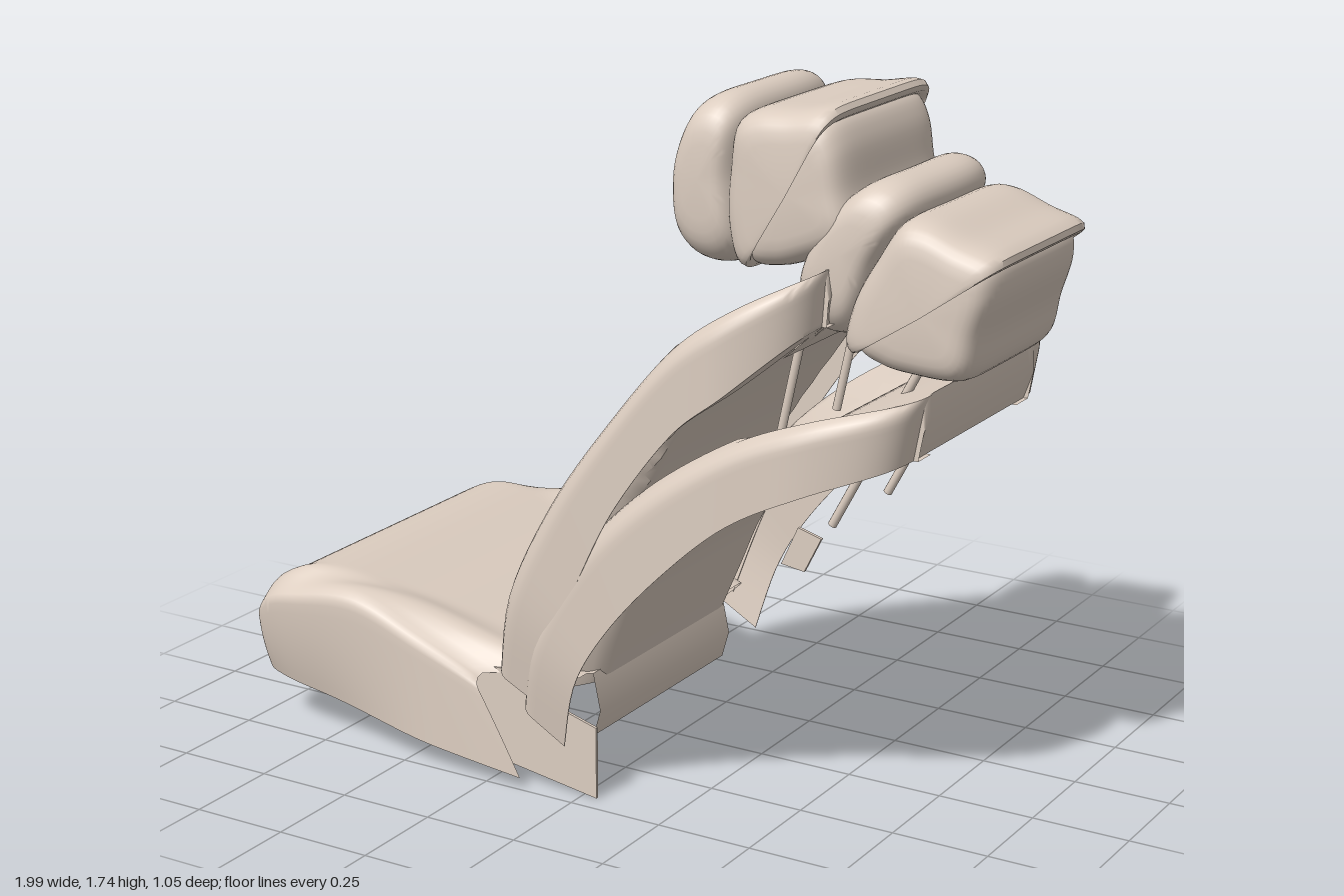
import * as THREE from 'three';
import { toCreasedNormals } from 'three/addons/utils/BufferGeometryUtils.js';

const mat = new THREE.MeshStandardMaterial({ color: 0xdccdc0, side: THREE.DoubleSide });
const lerp = THREE.MathUtils.lerp;
const sstep = THREE.MathUtils.smoothstep;

function part(name, geometry, parent) {
  const m = new THREE.Mesh(geometry, mat);
  m.name = name;
  parent.add(m);
  return m;
}

// Smooth interpolation through rows of numbers, t in 0..1
function spline(rows, t) {
  const n = rows.length - 1;
  const p = Math.min(Math.max(t, 0), 1) * n;
  const i = Math.min(Math.floor(p), n - 1), f = p - i;
  const at = k => rows[Math.min(Math.max(k, 0), n)];
  const a = at(i - 1), b = at(i), c = at(i + 1), d = at(i + 2);
  return b.map((v, k) => v + 0.5 * f * (c[k] - a[k] + f * (2 * a[k] - 5 * v + 4 * c[k] - d[k]
    + f * (3 * (v - c[k]) + d[k] - a[k]))));
}

// Grid surface from fn(i, j) -> [x, y, z]
function grid(nu, nv, fn) {
  const pos = [], idx = [];
  for (let i = 0; i <= nu; i++) for (let j = 0; j <= nv; j++) pos.push(...fn(i, j));
  for (let i = 0; i < nu; i++) for (let j = 0; j < nv; j++) {
    const a = i * (nv + 1) + j, b = a + nv + 1;
    idx.push(a, b, a + 1, b, b + 1, a + 1);
  }
  const g = new THREE.BufferGeometry();
  g.setAttribute('position', new THREE.Float32BufferAttribute(pos, 3));
  g.setIndex(idx);
  g.computeVertexNormals();
  return toCreasedNormals(g, 0.8);
}

// Upholstery section: f = side position, k = bolster amount, r = way down the side.
// The bolster rises from insert width e to peak; corner is the drop of the rounded edge.
function section(u, e, peak, corner, flange) {
  const a = Math.abs(u);
  let f, r = 0;
  if (a <= 0.8) f = a * 1.05;
  else if (a <= 1) {
    const phi = (a - 0.8) / 0.2 * Math.PI / 2;
    f = 0.84 + 0.16 * Math.sin(phi);
    r = corner * (1 - Math.cos(phi));
  } else if (a <= 1.3) { f = 1; r = corner + (1 - corner) * (a - 1) / 0.3; }
  else { f = 1 - (a - 1.3) * 10 * flange; r = 1; }
  return { f: f * Math.sign(u), k: sstep(Math.abs(f), e, Math.max(peak, e + 0.06)), r };
}

// Seat cushion rows: x, insert y, bolster y, z of both sides, insert width
const cushionRows = [
  [-1, 0.27, 0.26, -0.2, 0.38, 0.85],
  [-0.97, 0.34, 0.32, -0.3, 0.47, 0.85],
  [-0.9, 0.41, 0.38, -0.41, 0.5, 0.84],
  [-0.78, 0.445, 0.41, -0.48, 0.51, 0.8],
  [-0.55, 0.395, 0.435, -0.53, 0.51, 0.66],
  [-0.3, 0.335, 0.365, -0.5, 0.51, 0.6],
  [-0.05, 0.28, 0.28, -0.46, 0.5, 0.6],
];

function cushionPoint(t, u) {
  const [x, ins, bol, zn, zp, e] = spline(cushionRows, t);
  const s = section(u, e, 0.97, 0.15, 0);
  const r = t < 0 ? 1 : s.r;
  // Sides end sooner than the middle, with slanted rear edges
  const cut = u > 0 ? lerp(0.24 * sstep(s.f, 0.75, 0.95), 0.1, s.r) : 0.28 * s.r;
  const px = x - (t > 0 ? cut * t * t : 0);
  const yb = 0.15 - 0.135 * (px + 1);
  const y = lerp(lerp(ins, bol, s.k), yb, r);
  // Lower edge leans inward
  const lean = u > 0 ? 0.04 * (1 - sstep(px, -0.8, -0.4)) : 0.055;
  const z = (zn + zp) / 2 + s.f * (zp - zn) / 2;
  return [px, y, z - Math.sign(u) * lean * s.r * s.r * Math.abs(s.f)];
}

// Backrest rows: bolster front x y, insert x y, rear edge x y, half width
const uprightRows = [
  [-0.24, 0.3, -0.04, 0.28, -0.1, 0.23, 0.47],
  [-0.19, 0.52, -0.02, 0.43, -0.04, 0.42, 0.5],
  [-0.06, 0.77, 0.05, 0.62, 0.04, 0.6, 0.505],
  [0.1, 0.99, 0.155, 0.83, 0.14, 0.79, 0.505],
  [0.27, 1.19, 0.31, 1.07, 0.29, 0.99, 0.5],
  [0.42, 1.3, 0.445, 1.24, 0.42, 1.1, 0.485],
  [0.58, 1.38, 0.575, 1.375, 0.57, 1.24, 0.46],
];
const reclinedRows = [
  [-0.17, 0.22, -0.03, 0.25, -0.03, 0.14, 0.47],
  [-0.12, 0.42, 0.02, 0.38, 0.02, 0.32, 0.5],
  [0.02, 0.66, 0.1, 0.56, 0.11, 0.47, 0.505],
  [0.2, 0.84, 0.24, 0.74, 0.25, 0.63, 0.505],
  [0.43, 0.99, 0.46, 0.92, 0.43, 0.79, 0.5],
  [0.63, 1.07, 0.635, 1.04, 0.62, 0.89, 0.485],
  [0.84, 1.12, 0.835, 1.115, 0.81, 0.96, 0.46],
];
const backZ = 0.012;

function backPoint(rows, t, u) {
  const [fx, fy, cx, cy, rx, ry, w] = spline(rows, t);
  const s = section(u, lerp(0.58, 0.86, sstep(t, 0.25, 0.8)), 0.88, 0.3, 0.005 + 0.22 * sstep(t, 0.65, 0.95));
  const round = Math.max(0, (t - 0.78) / 0.22);
  const width = w * (1 - 0.36 * (1 - Math.sqrt(Math.max(0, 1 - round * round))));
  return [lerp(lerp(cx, fx, s.k), rx, s.r), lerp(lerp(cy, fy, s.k), ry, s.r), backZ + s.f * width];
}

function backrest(name, rows, buttonT, root) {
  const g = new THREE.Group();
  g.name = name;
  root.add(g);
  const nt = 52, nu = 84;
  const uAt = j => -1.4 + 2.8 * j / nu;
  // Hollow shell, then extra rows turn it over the top into a rear rim
  part('backrestShell', grid(nt, nu, (i, j) => backPoint(rows, 1 - Math.pow(1 - i / nt, 1.7), uAt(j))), g);
  const last = spline(rows, 1), low = spline(rows, 0.9);
  part('backrestTopRim', grid(3, nu, (i, j) => {
    const front = backPoint(rows, 1, uAt(j));
    if (i === 0) return front;
    if (i === 1) return [lerp(front[0], last[4], 0.4) + 0.012, lerp(front[1], last[5], 0.4), front[2]];
    if (i === 2) return [last[4], last[5], front[2]];
    return [low[4], low[5], backZ + (front[2] - backZ) * 1.1];
  }), g);
  // Round shoulder button
  const at = (t, u) => new THREE.Vector3(...backPoint(rows, t, u));
  const p = at(buttonT, -0.58);
  const along = at(buttonT + 0.02, -0.58).sub(p), across = at(buttonT, -0.54).sub(p);
  const normal = across.cross(along).normalize();
  if (normal.y < 0) normal.negate();
  for (const r of [0.05, 0.02]) {
    const ring = part('shoulderButtonRing', new THREE.TorusGeometry(r, 0.005, 8, 28), g);
    ring.position.copy(p);
    ring.quaternion.setFromUnitVectors(new THREE.Vector3(0, 0, 1), normal);
  }
}

// Soft body: closed side outline, shrunk toward a centre at both ends in z
function pillow(outline, [cx, cy], z0, z1, power, hollow = 0) {
  const curve = new THREE.CatmullRomCurve3(outline.map(([x, y]) => new THREE.Vector3(x, y, 0)), true, 'centripetal');
  const m = 72, n = 32;
  const pts = curve.getSpacedPoints(m);
  return grid(n, m, (i, j) => {
    const v = -Math.cos(Math.PI * i / n);
    const s = Math.pow(Math.max(0, 1 - Math.pow(Math.abs(v), power)), 1 / power);
    return [cx + (pts[j].x - cx) * s + hollow * (1 - v * v), cy + (pts[j].y - cy) * s, lerp(z0, z1, (v + 1) / 2)];
  });
}

// Thin flat panel in the x-y plane
function panel(points, z, thickness) {
  const shape = new THREE.Shape(points.map(p => new THREE.Vector2(...p)));
  const g = new THREE.ExtrudeGeometry(shape, { depth: thickness, bevelEnabled: false });
  return g.translate(0, 0, z);
}

// Headrest, modelled relative to its lower front corner
function headrest(name, x, y, angle, root) {
  const g = new THREE.Group();
  g.name = name;
  g.position.set(x, y, 0);
  g.rotation.z = angle;
  root.add(g);
  const rel = pts => pts.map(([px, py]) => [px - 0.35, py - 1.34]);
  const padCentre = [-0.12, 0.2], blockCentre = [0.12, 0.19];
  part('headrestPad', pillow(rel([[0.13, 1.46], [0.14, 1.6], [0.2, 1.72], [0.27, 1.74], [0.31, 1.71],
    [0.31, 1.55], [0.315, 1.37], [0.27, 1.33], [0.2, 1.335], [0.15, 1.38]]), padCentre, -0.235, 0.295, 4.5, 0.012), g);
  // Wrap over the front and top of the block
  part('headrestFrontShell', pillow(rel([[0.345, 1.335], [0.32, 1.35], [0.295, 1.45], [0.3, 1.58], [0.32, 1.69], [0.37, 1.718],
    [0.47, 1.728], [0.565, 1.738], [0.575, 1.72], [0.56, 1.703], [0.42, 1.685], [0.38, 1.65], [0.36, 1.55],
    [0.355, 1.45], [0.36, 1.35]]), blockCentre, -0.25, 0.31, 7), g);
  part('headrestBlock', pillow(rel([[0.35, 1.35], [0.345, 1.5], [0.36, 1.66], [0.42, 1.705], [0.55, 1.71],
    [0.585, 1.66], [0.605, 1.55], [0.625, 1.46], [0.61, 1.425], [0.5, 1.37], [0.42, 1.345]]), blockCentre, -0.237, 0.297, 6), g);
}

function posts(x0, y0, x1, y1, root) {
  const a = new THREE.Vector3(x0, y0, 0), d = new THREE.Vector3(x1 - x0, y1 - y0, 0);
  for (const z of [-0.11, 0.175]) {
    const m = part('headrestPost', new THREE.CylinderGeometry(0.011, 0.011, d.length(), 14), root);
    m.position.copy(a).addScaledVector(d, 0.5).setZ(z);
    m.quaternion.setFromUnitVectors(new THREE.Vector3(0, 1, 0), d.clone().normalize());
  }
}

export function createModel() {
  const root = new THREE.Group();
  root.name = 'seat';

  // Hollow seat cushion; first row forms the front wall
  part('seatCushion', grid(57, 80, (i, j) => cushionPoint(i === 0 ? -1 : (i - 1) / 56, -1.3 + 2.6 * j / 80)), root);
  // Recessed panel behind the cushion's left side
  part('seatSidePanel', panel([[-0.36, 0.29], [-0.22, 0.045], [0.04, 0.005], [0.04, 0.19], [-0.1, 0.23], [-0.22, 0.29]], 0.44, 0.008), root);

  // Backrest in two reclining positions
  backrest('uprightBackrest', uprightRows, 0.8, root);
  backrest('reclinedBackrest', reclinedRows, 0.83, root);

  // Folded strip between cushion and backrests
  const fold = [[-0.11, 0.27], [-0.03, 0.285], [-0.01, 0.19], [-0.03, 0.12]];
  part('lowerBackStrip', grid(3, 1, (i, j) => [...fold[i], j ? 0.35 : -0.28]), root);
  part('sideTab', panel([[0.05, 0.34], [0.12, 0.33], [0.17, 0.43], [0.1, 0.45]], -0.46, 0.01), root);

  headrest('uprightHeadrest', 0.35, 1.34, 0, root);
  headrest('reclinedHeadrest', 0.625, 1.175, -0.45, root);
  posts(0.39, 0.91, 0.5, 1.42, root);
  posts(0.535, 0.72, 0.79, 1.2, root);
  return root;
}
